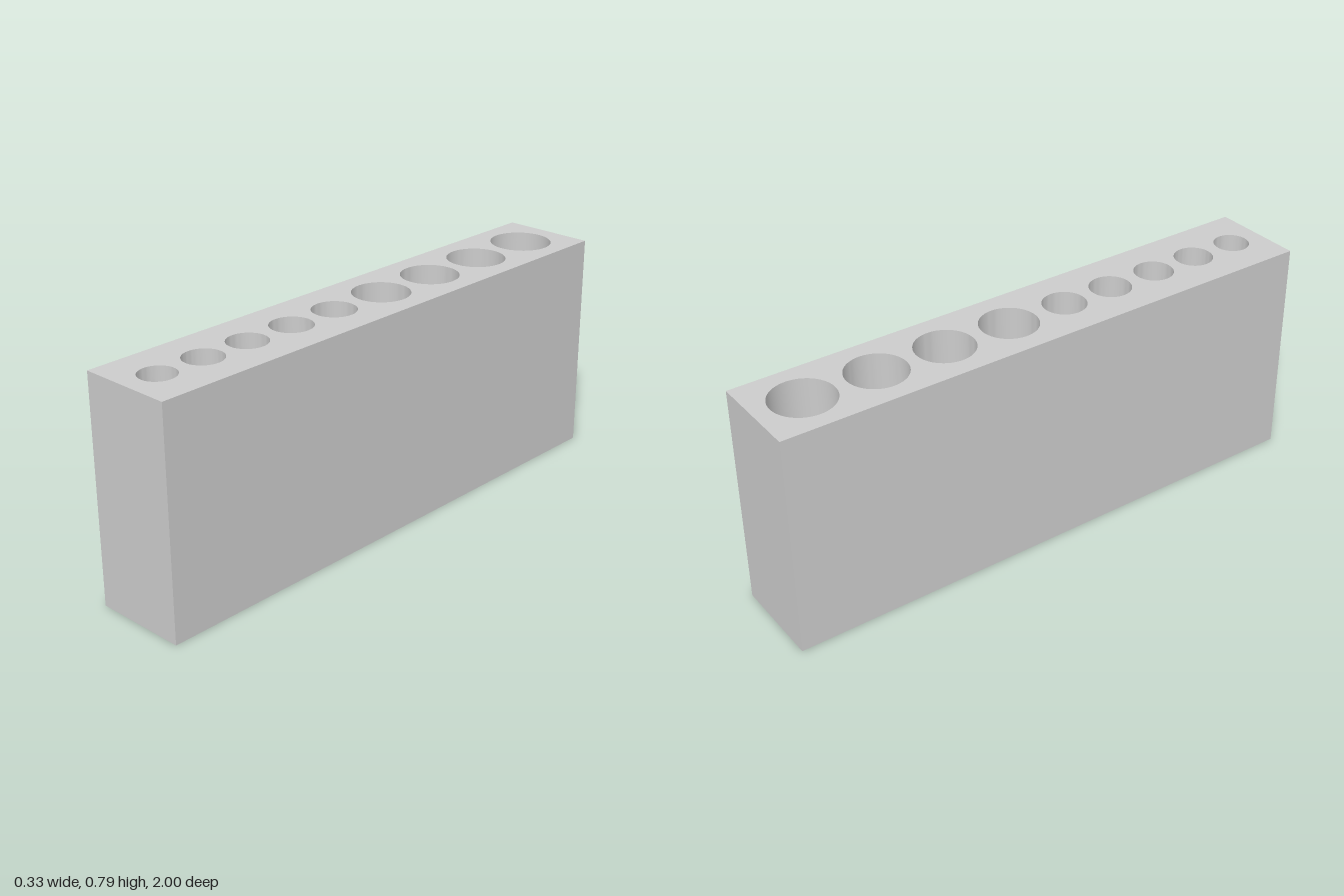
import * as THREE from 'three';
import { toCreasedNormals } from 'three/addons/utils/BufferGeometryUtils.js';

const WIDTH = 0.334, HEIGHT = 0.79, LENGTH = 2, FLOOR = 0.06, SEGMENTS = 64;

// [z position, radius] of each socket, back to front
const SOCKETS = [
  [-0.833, 0.109], [-0.577, 0.104], [-0.328, 0.102], [-0.082, 0.1],
  [0.141, 0.076], [0.333, 0.073], [0.521, 0.069], [0.7, 0.068], [0.876, 0.062],
];

export function createModel() {
  const group = new THREE.Group();
  const material = new THREE.MeshStandardMaterial({ color: 0xcccccc });
  const add = (name, geometry, x, y, z) => {
    const mesh = new THREE.Mesh(geometry, material);
    mesh.name = name;
    mesh.position.set(x, y, z);
    group.add(mesh);
  };

  // Block sides and base: a box without its top face
  const block = new THREE.BoxGeometry(WIDTH, HEIGHT, LENGTH);
  const indices = Array.from(block.index.array);
  indices.splice(12, 6);
  block.setIndex(indices);
  block.clearGroups();
  add('block', block, 0, HEIGHT / 2, 0);

  // Top face pierced by the round openings
  const w = WIDTH / 2, l = LENGTH / 2;
  const top = new THREE.Shape([
    new THREE.Vector2(-w, -l), new THREE.Vector2(w, -l),
    new THREE.Vector2(w, l), new THREE.Vector2(-w, l),
  ]);
  for (const [z, r] of SOCKETS) {
    top.holes.push(new THREE.Path().absarc(0, -z, r, 0, Math.PI * 2, true));
  }
  add('topFace', new THREE.ShapeGeometry(top, SEGMENTS / 2).rotateX(-Math.PI / 2), 0, HEIGHT, 0);

  // Blind sockets: inward-facing wall, then a flat floor
  SOCKETS.forEach(([z, r], i) => {
    const profile = [[r, HEIGHT], [r, FLOOR], [0, FLOOR]].map(p => new THREE.Vector2(...p));
    const socket = toCreasedNormals(new THREE.LatheGeometry(profile, SEGMENTS), Math.PI / 6);
    add(`socket${i + 1}`, socket, 0, 0, z);
  });

  return group;
}
